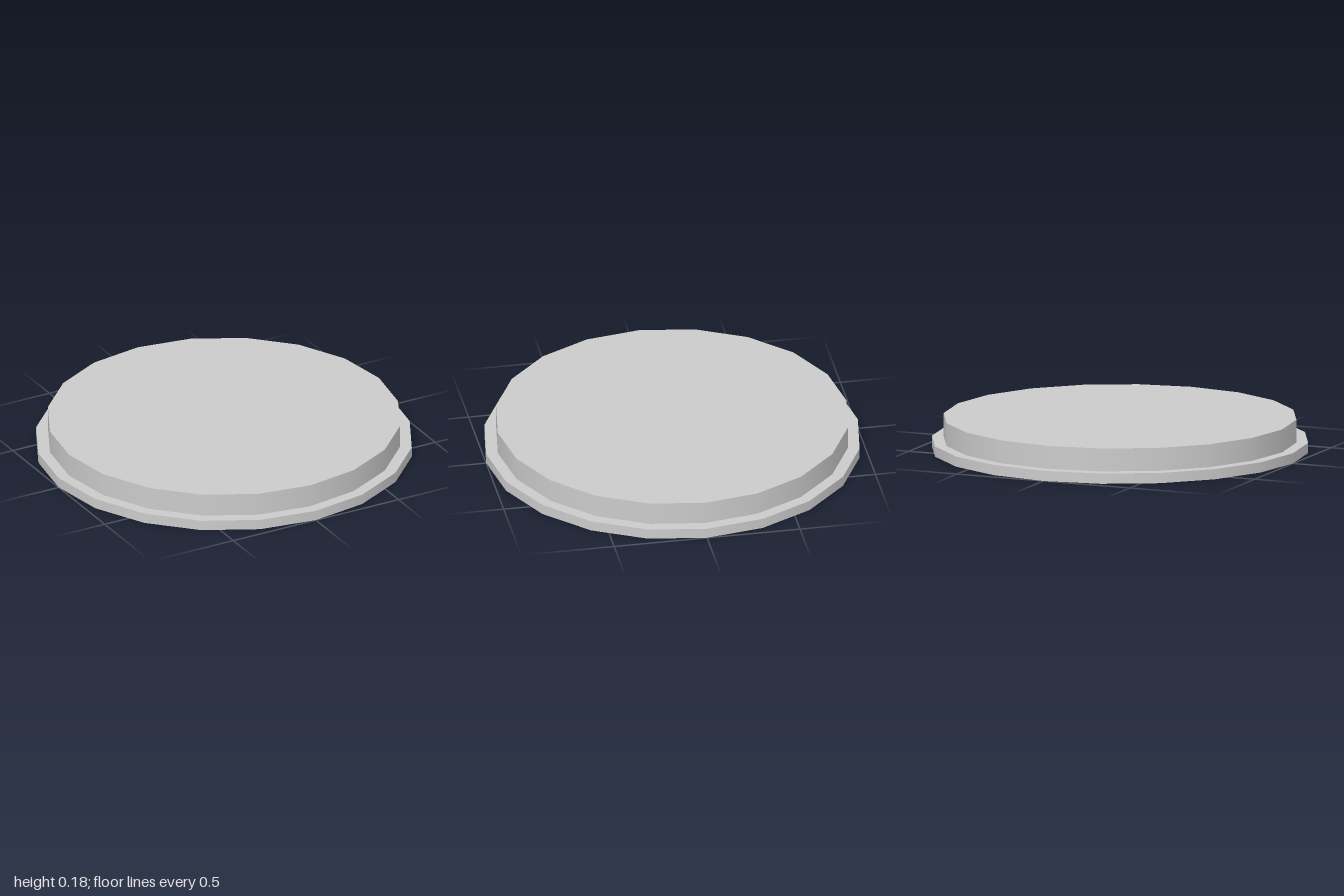
import * as THREE from 'three';

const SIDES = 20;

export function createModel() {
  const group = new THREE.Group();
  const material = new THREE.MeshStandardMaterial({ color: 0xcccccc });

  // A smooth-sided disc standing on the given height
  function addDisc(name, radius, bottom, top) {
    const geometry = new THREE.CylinderGeometry(radius, radius, top - bottom, SIDES);
    const mesh = new THREE.Mesh(geometry, material);
    mesh.name = name;
    mesh.position.y = (bottom + top) / 2;
    group.add(mesh);
  }

  // Thin wide rim at the bottom, narrower and thicker disc on top
  addDisc('baseRim', 1, 0, 0.055);
  addDisc('upperDisc', 0.9375, 0.055, 0.178);

  return group;
}
